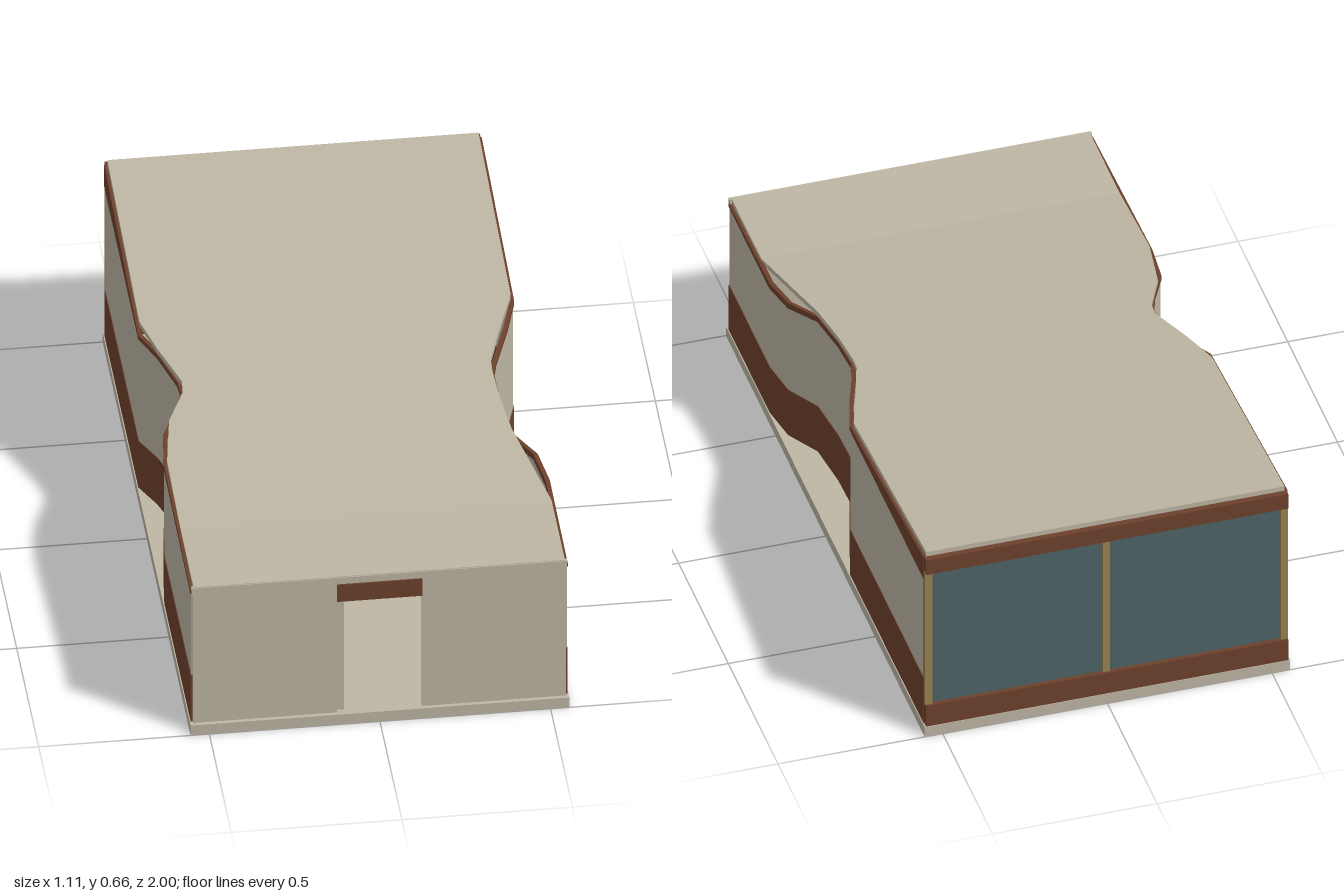
import * as THREE from 'three';

const mat = (name, color) => {
  const m = new THREE.MeshStandardMaterial({ color });
  m.name = name;
  return m;
};

export function createModel() {
  const group = new THREE.Group();
  const plaster = mat('plaster', 0xbeb6a4);
  const brown = mat('brownCladding', 0x6d412c);
  const glass = mat('glass', 0x4d6465);
  const wood = mat('woodFrame', 0x9a8250);

  const add = (name, geometry, material) => {
    const mesh = new THREE.Mesh(geometry, material);
    mesh.name = name;
    group.add(mesh);
    return mesh;
  };
  // Box given by its two corners
  const box = (name, m, x0, x1, y0, y1, z0, z1) => {
    const g = new THREE.BoxGeometry(x1 - x0, y1 - y0, z1 - z0);
    g.translate((x0 + x1) / 2, (y0 + y1) / 2, (z0 + z1) / 2);
    return add(name, g, m);
  };

  // Roof heights: flat at the front, rising evenly to the back
  const bend = 0.68, slope = 0.0873, thick = 0.016;
  const roofTop = z => 0.515 + Math.max(0, bend - z) * slope;

  // Plan lines [half width, z] from back to front
  const leftWall = [[0.55, -0.98], [0.55, -0.24], [0.515, -0.12], [0.465, 0.02], [0.45, 0.08],
    [0.453, 0.2], [0.47, 0.35], [0.53, 0.45], [0.55, 0.57], [0.55, 0.98]];
  const rightWall = [[0.55, -0.98], [0.55, -0.21], [0.507, -0.12], [0.465, 0.01], [0.46, 0.06],
    [0.485, 0.14], [0.535, 0.24], [0.55, 0.38], [0.55, 0.98]];
  const leftRoof = [[0.544, -0.98], [0.544, -0.25], [0.495, -0.11], [0.45, 0.03], [0.447, 0.08],
    [0.453, 0.2], [0.47, 0.35], [0.544, bend]];
  const rightRoof = [[0.544, -0.98], [0.544, -0.25], [0.507, -0.12], [0.455, 0.03], [0.46, 0.08],
    [0.515, 0.2], [0.544, 0.38], [0.544, bend]];

  // Wall strip of four-cornered sections along a plan line
  const wallStrip = (name, m, line, side, bottom, top, out, depth) => {
    const section = ([x, z]) => [[x + out, bottom(z)], [x + out, top(z)],
      [x + out - depth, top(z)], [x + out - depth, bottom(z)]].map(([a, y]) => [side * a, y, z]);
    const pos = [];
    const quad = (a, b, c, d) => {
      const f = side > 0 ? [a, b, c, a, c, d] : [a, c, b, a, d, c];
      f.forEach(p => pos.push(...p));
    };
    const s = line.map(section);
    for (let i = 0; i < s.length - 1; i++) {
      for (let k = 0; k < 4; k++) {
        const n = (k + 1) % 4;
        quad(s[i][k], s[i][n], s[i + 1][n], s[i + 1][k]);
      }
    }
    quad(s[0][3], s[0][2], s[0][1], s[0][0]);
    quad(...s[s.length - 1]);
    const g = new THREE.BufferGeometry();
    g.setAttribute('position', new THREE.Float32BufferAttribute(pos, 3));
    g.computeVertexNormals();
    return add(name, g, m);
  };

  // Floor slab
  box('floorSlab', plaster, -0.555, 0.555, 0, 0.035, -1, 1);

  // Roof: sloped waisted sheet plus flat front sheet
  const outline = [...leftRoof.map(([x, z]) => [x, z]), ...rightRoof.map(([x, z]) => [-x, z]).reverse()];
  const shape = new THREE.Shape(outline.map(([x, z]) => new THREE.Vector2(x, -z)));
  const roof = new THREE.ExtrudeGeometry(shape, { depth: thick, bevelEnabled: false });
  roof.rotateX(-Math.PI / 2);
  const p = roof.attributes.position;
  for (let i = 0; i < p.count; i++) p.setY(i, p.getY(i) + roofTop(p.getZ(i)) - thick);
  roof.computeVertexNormals();
  add('slopedRoof', roof, plaster);
  box('flatRoof', plaster, -0.544, 0.544, 0.515 - thick, 0.515, bend, 0.985);

  // Curving side walls: brown base, pale middle, brown upper band
  const midTop = z => z < -0.24 ? 0.565 : z > 0.57 ? 0.488 : 0.565 - (z + 0.24) * 0.095;
  const under = z => roofTop(z) - thick;
  for (const [label, line, side] of [['left', leftWall, 1], ['right', rightWall, -1]]) {
    wallStrip(label + 'WallBase', brown, line, side, () => 0.035, () => 0.2, 0.002, 0.012);
    wallStrip(label + 'WallPanel', plaster, line, side, () => 0.2, midTop, 0, 0.01);
    wallStrip(label + 'WallUpperBand', brown, line, side, midTop, under, 0.003, 0.013);
  }

  // Front wall with doorway
  for (const s of [-1, 1]) {
    const x = [s * 0.125, s * 0.546].sort((a, b) => a - b);
    box('frontWall', plaster, x[0], x[1], 0.035, 0.49, 0.975, 0.988);
  }
  box('frontFascia', plaster, -0.55, 0.55, 0.49, 0.513, 0.975, 0.988);
  box('doorHeader', brown, -0.125, 0.125, 0.43, 0.49, 0.975, 0.992);

  // Open door leaf and interior partitions
  box('doorLeaf', plaster, -0.125, -0.102, 0.035, 0.43, 0.77, 0.975);
  box('tallPartition', plaster, -0.103, -0.09, 0.035, 0.39, 0.3, 0.6);
  box('lowPartition', plaster, -0.09, -0.012, 0.035, 0.283, 0.0, 0.3);
  box('lowPartitionCap', brown, -0.09, -0.012, 0.283, 0.29, 0.0, 0.3);
  box('lowCabinet', brown, 0.1, 0.3, 0.035, 0.12, 0.1, 0.4);

  // Glazed back wall
  box('backLowerBand', brown, -0.55, 0.55, 0.035, 0.11, -0.998, -0.975);
  box('backUpperBand', brown, -0.55, 0.55, 0.59, 0.643, -0.998, -0.975);
  box('backGlass', glass, -0.54, 0.54, 0.11, 0.6, -0.984, -0.978);
  for (const x of [-0.54, 0, 0.54]) {
    box('backMullion', wood, x - 0.011, x + 0.011, 0.11, 0.592, -0.992, -0.972);
  }
  return group;
}
